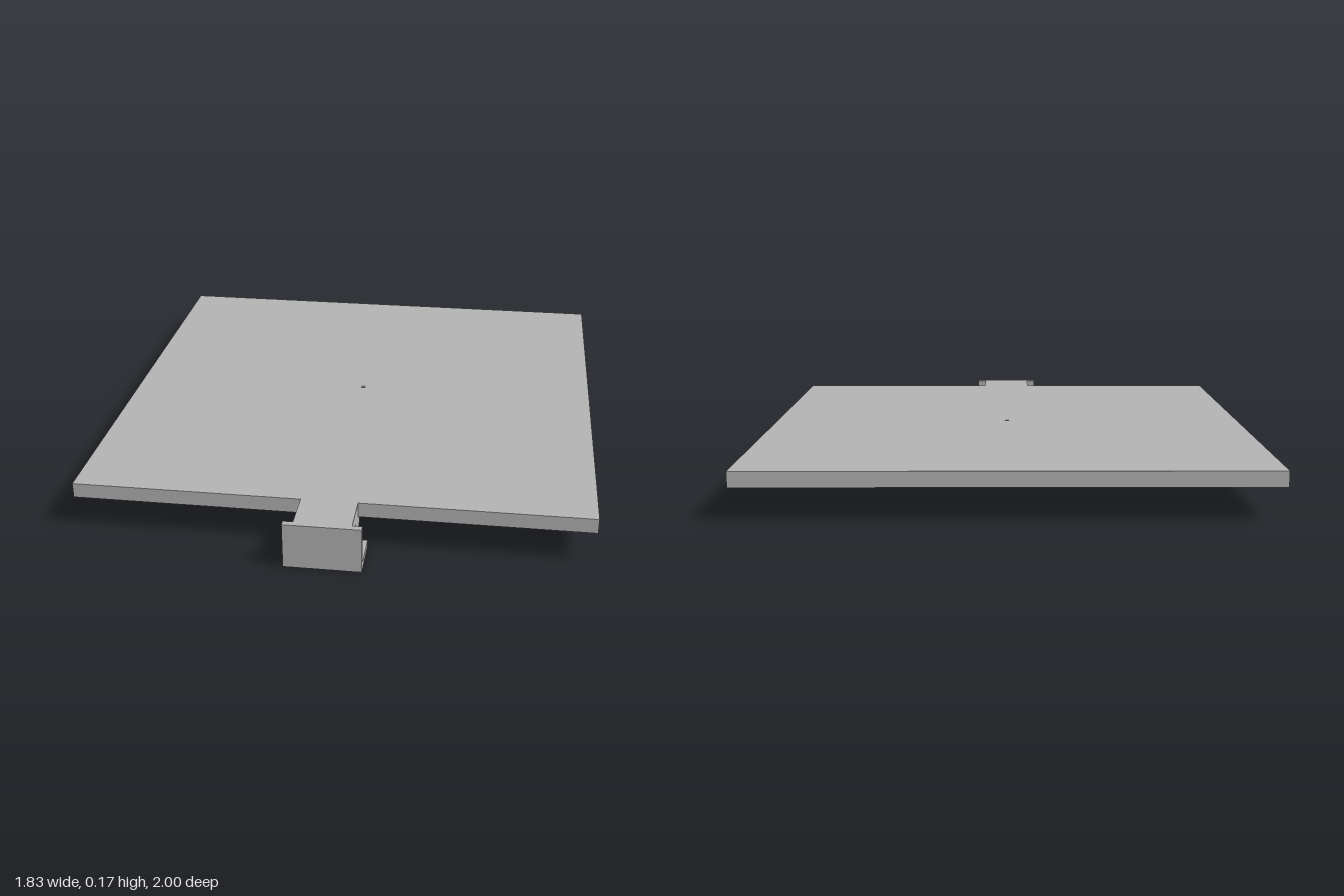
import * as THREE from 'three';

const grey = new THREE.MeshStandardMaterial({ color: 0xb2b2b2 });
grey.name = 'plain grey';

export function createModel() {
  const model = new THREE.Group();
  model.name = 'ribbedPanel';

  const add = (parent, name, geometry) => {
    const mesh = new THREE.Mesh(geometry, grey);
    mesh.name = name;
    parent.add(mesh);
    return mesh;
  };
  const box = (parent, name, [x0, x1], [y0, y1], [z0, z1]) => {
    const mesh = add(parent, name, new THREE.BoxGeometry(x1 - x0, y1 - y0, z1 - z0));
    mesh.position.set((x0 + x1) / 2, (y0 + y1) / 2, (z0 + z1) / 2);
    return mesh;
  };
  const circle = (x, y, r) => new THREE.Path().absarc(x, y, r, 0, Math.PI * 2, true);

  const W = 0.917, back = -1, front = 0.83, midZ = (back + front) / 2;
  const bottom = 0.112, under = 0.147, top = 0.167, rim = 0.03, ribWidth = 0.034;

  // Thin top sheet with a small centre hole
  const outline = new THREE.Shape([
    new THREE.Vector2(-W, -front), new THREE.Vector2(W, -front),
    new THREE.Vector2(W, -back), new THREE.Vector2(-W, -back),
  ]);
  outline.holes.push(circle(0, -midZ, 0.008));
  const sheet = new THREE.ExtrudeGeometry(outline, { depth: top - under, bevelEnabled: false, curveSegments: 12 });
  sheet.rotateX(-Math.PI / 2);
  add(model, 'topSheet', sheet).position.y = under;

  // Rim around the underside
  const rimGroup = new THREE.Group();
  rimGroup.name = 'rim';
  model.add(rimGroup);
  const h = [bottom, under];
  box(rimGroup, 'frontRim', [-W, W], h, [front - rim, front]);
  box(rimGroup, 'backRim', [-W, W], h, [back, back + rim]);
  box(rimGroup, 'rightRim', [-W, -W + rim], h, [back + rim, front - rim]);
  box(rimGroup, 'leftRim', [W - rim, W], h, [back + rim, front - rim]);

  // Centre rib and two corner-to-corner ribs
  box(model, 'centreRib', [-ribWidth / 2, ribWidth / 2], h, [back + rim, front - rim]);
  const halfDepth = (front - back) / 2;
  const length = 2 * Math.hypot(W - rim, halfDepth - rim);
  for (const side of [-1, 1]) {
    const rib = add(model, 'diagonalRib', new THREE.BoxGeometry(length, under - bottom, ribWidth));
    rib.position.set(0, (bottom + under) / 2, midZ);
    rib.rotation.y = side * Math.atan2(halfDepth, W);
  }

  // Hinge bracket: drilled core with a sloped back, front wall and foot
  const bracket = new THREE.Group();
  bracket.name = 'hingeBracket';
  model.add(bracket);
  const profile = new THREE.Shape([
    [0.98, 0.025], [0.98, top], [front, top], [front, under], [0.755, under], [0.755, bottom], [0.84, 0.025],
  ].map(([z, y]) => new THREE.Vector2(z, y)));
  profile.holes.push(circle(0.907, 0.096, 0.025));
  const core = new THREE.ExtrudeGeometry(profile, { depth: 0.2, bevelEnabled: false, curveSegments: 24 });
  core.translate(0, 0, -0.1).rotateY(-Math.PI / 2);
  add(bracket, 'hingeCore', core);
  box(bracket, 'frontWall', [-0.135, 0.135], [0, top], [0.977, 1]);
  box(bracket, 'foot', [-0.135, 0.135], [0, 0.025], [0.84, 0.977]);

  return model;
}
